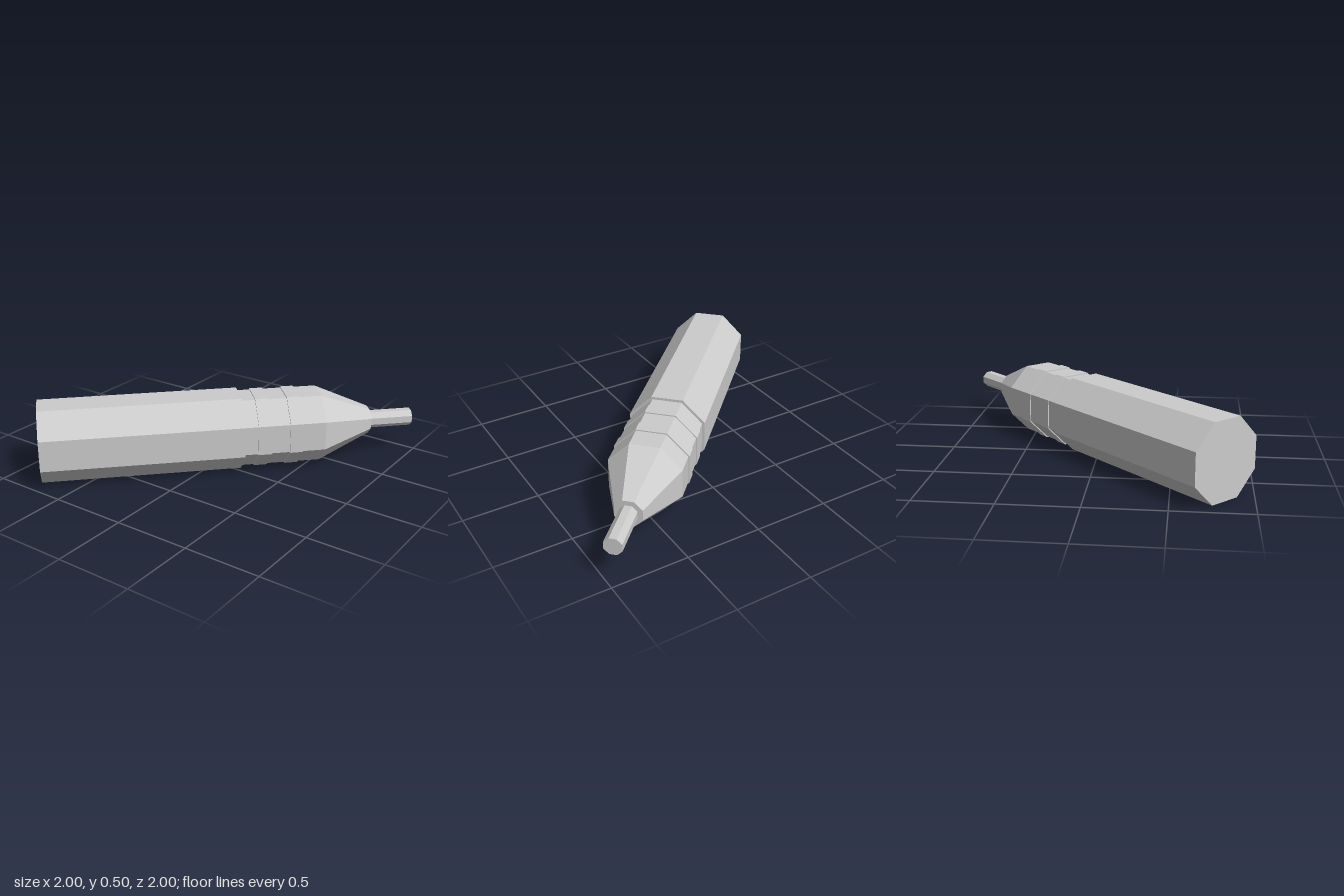
import * as THREE from 'three';

export function createModel() {
  const model = new THREE.Group();
  model.name = 'octagonalTool';

  const grey = new THREE.MeshStandardMaterial({ color: 0xcccccc, flatShading: true });
  grey.name = 'grey';

  // The tool lies flat, its tip pointing to the back left corner.
  const tool = new THREE.Group();
  tool.name = 'tool';
  tool.position.y = 0.25;
  tool.rotation.y = -Math.PI / 4;
  model.add(tool);

  // Eight-sided section from one distance along the axis to another;
  // sizes are measured from the axis to the middle of a flat side.
  function section(name, from, to, startSize, endSize = startSize) {
    const k = 1 / Math.cos(Math.PI / 8);
    const geometry = new THREE.CylinderGeometry(
      endSize * k, startSize * k, to - from, 8, 1, false, Math.PI / 8);
    geometry.rotateX(-Math.PI / 2);
    const mesh = new THREE.Mesh(geometry, grey);
    mesh.name = name;
    mesh.position.z = -(from + to) / 2;
    tool.add(mesh);
  }

  section('handle', -1.162, 0.157, 0.25);
  section('neck', 0.157, 0.698, 0.233);
  // Raised grip rings around the neck
  for (const start of [0.246, 0.458]) section('gripRing', start, start + 0.088, 0.24);
  section('taperedNose', 0.698, 1.057, 0.233, 0.086);
  section('tip', 1.03, 1.36, 0.055);

  return model;
}
